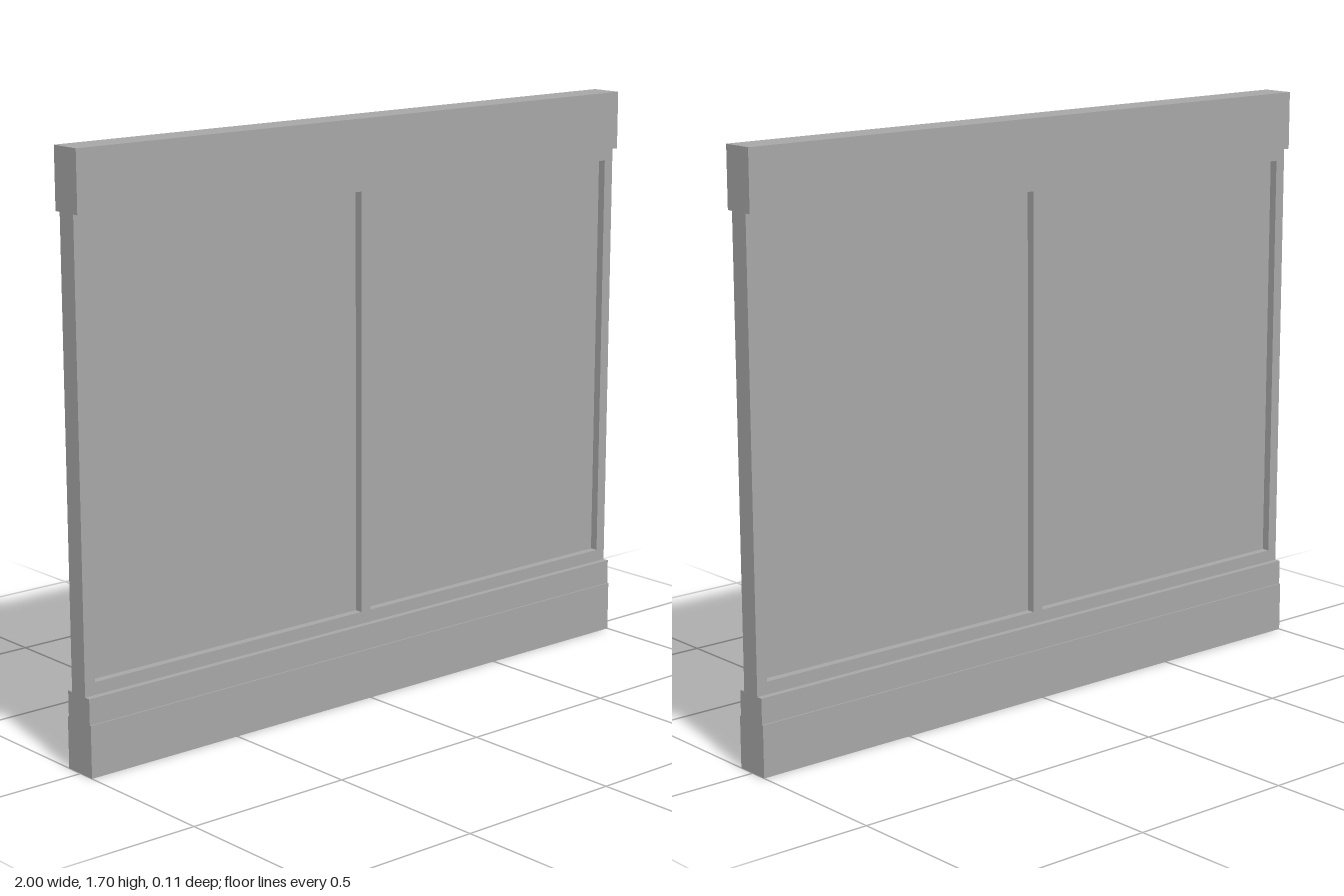
import * as THREE from 'three';

export function createModel() {
  const group = new THREE.Group();
  const grey = new THREE.MeshStandardMaterial({ color: 0xa8a8a8 });
  grey.name = 'grey';

  function add(name, geometry) {
    const mesh = new THREE.Mesh(geometry, grey);
    mesh.name = name;
    group.add(mesh);
    return mesh;
  }

  function rectangle(path, x0, y0, x1, y1) {
    path.moveTo(x0, y0);
    path.lineTo(x1, y0);
    path.lineTo(x1, y1);
    path.lineTo(x0, y1);
    path.closePath();
    return path;
  }

  // Horizontal rails, with the skirting slightly thicker than its cap
  const rails = [
    ['skirting', 0, 0.15, 0.106],
    ['skirtingCap', 0.15, 0.224, 0.097],
    ['topRail', 1.528, 1.7, 0.097],
  ];
  for (const [name, y0, y1, depth] of rails) {
    add(name, new THREE.BoxGeometry(2, y1 - y0, depth)).position.y = (y0 + y1) / 2;
  }

  // Thin frame with two openings
  const openings = [[-0.967, -0.018], [0.018, 0.967]];
  const bottom = 0.26, top = 1.492, frameDepth = 0.06;
  const outline = rectangle(new THREE.Shape(), -1, 0.224, 1, 1.528);
  for (const [x0, x1] of openings) {
    outline.holes.push(rectangle(new THREE.Path(), x0, bottom, x1, top));
  }
  const frame = new THREE.ExtrudeGeometry(outline, { depth: frameDepth, bevelEnabled: false });
  frame.translate(0, 0, -frameDepth / 2);
  add('frame', frame);

  // Recessed panels, set in the middle of the frame
  openings.forEach(([x0, x1], i) => {
    const panel = add(i ? 'leftPanel' : 'rightPanel', new THREE.BoxGeometry(x1 - x0, top - bottom, 0.012));
    panel.position.set((x0 + x1) / 2, (top + bottom) / 2, 0);
  });

  return group;
}
